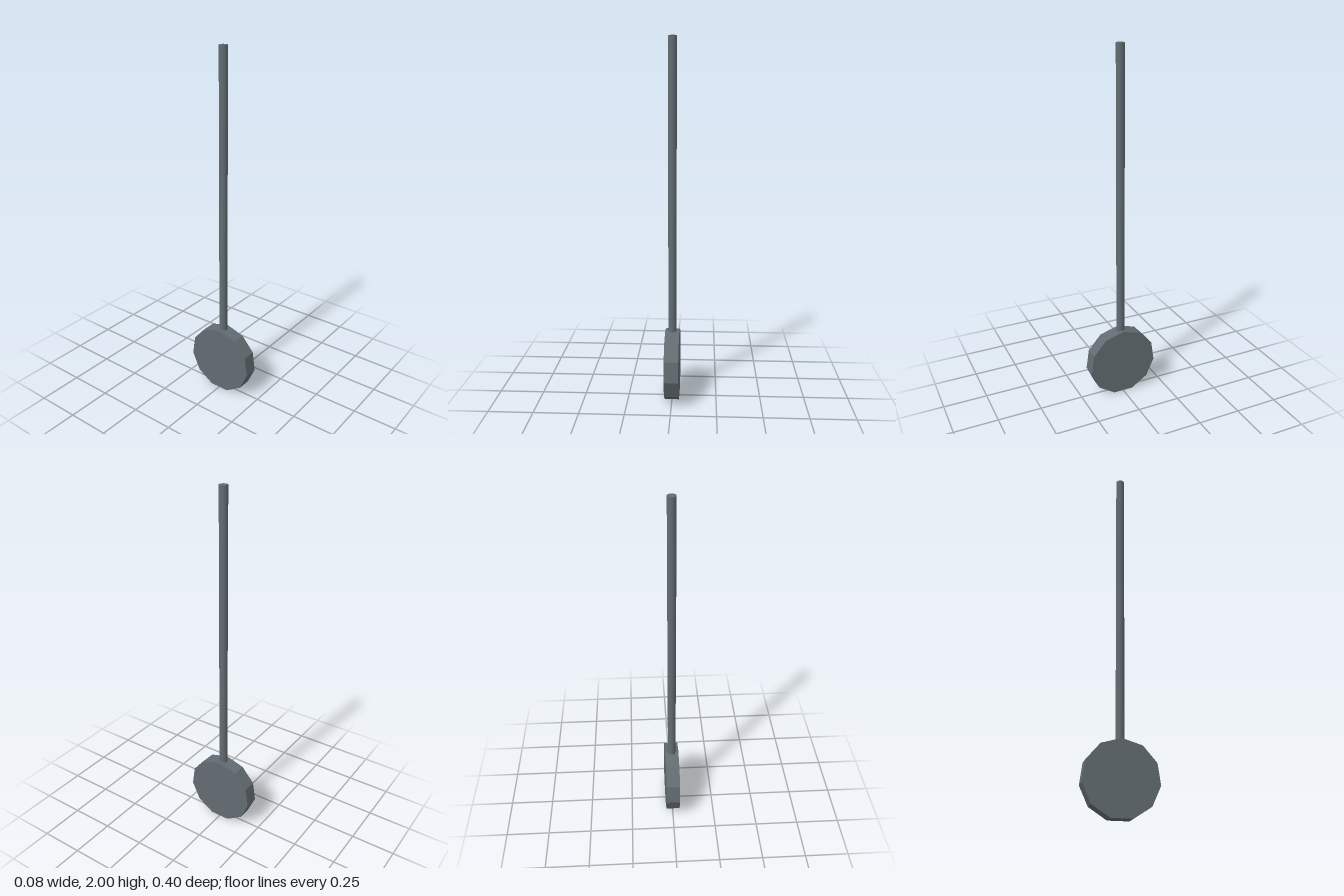
import * as THREE from 'three';

export function createModel() {
  const model = new THREE.Group();
  const steel = new THREE.MeshStandardMaterial({ color: 0x626c72 });
  steel.name = 'blue grey steel';

  const radius = 0.2015, sides = 11;
  const centreY = radius * Math.cos(Math.PI / sides); // rests on a flat edge

  // Faceted bob: eleven-sided disc lying across x, one corner pointing up
  const disc = new THREE.CylinderGeometry(radius, radius, 0.08, sides, 1, false, Math.PI / 2)
    .rotateZ(Math.PI / 2)
    .toNonIndexed();
  disc.computeVertexNormals();
  const bob = new THREE.Mesh(disc, steel);
  bob.name = 'bob';
  bob.position.y = centreY;
  model.add(bob);

  // Slim round rod rising from inside the bob
  const height = 2 - centreY;
  const rod = new THREE.Mesh(new THREE.CylinderGeometry(0.023, 0.023, height, 32), steel);
  rod.name = 'rod';
  rod.position.y = centreY + height / 2;
  model.add(rod);

  return model;
}
